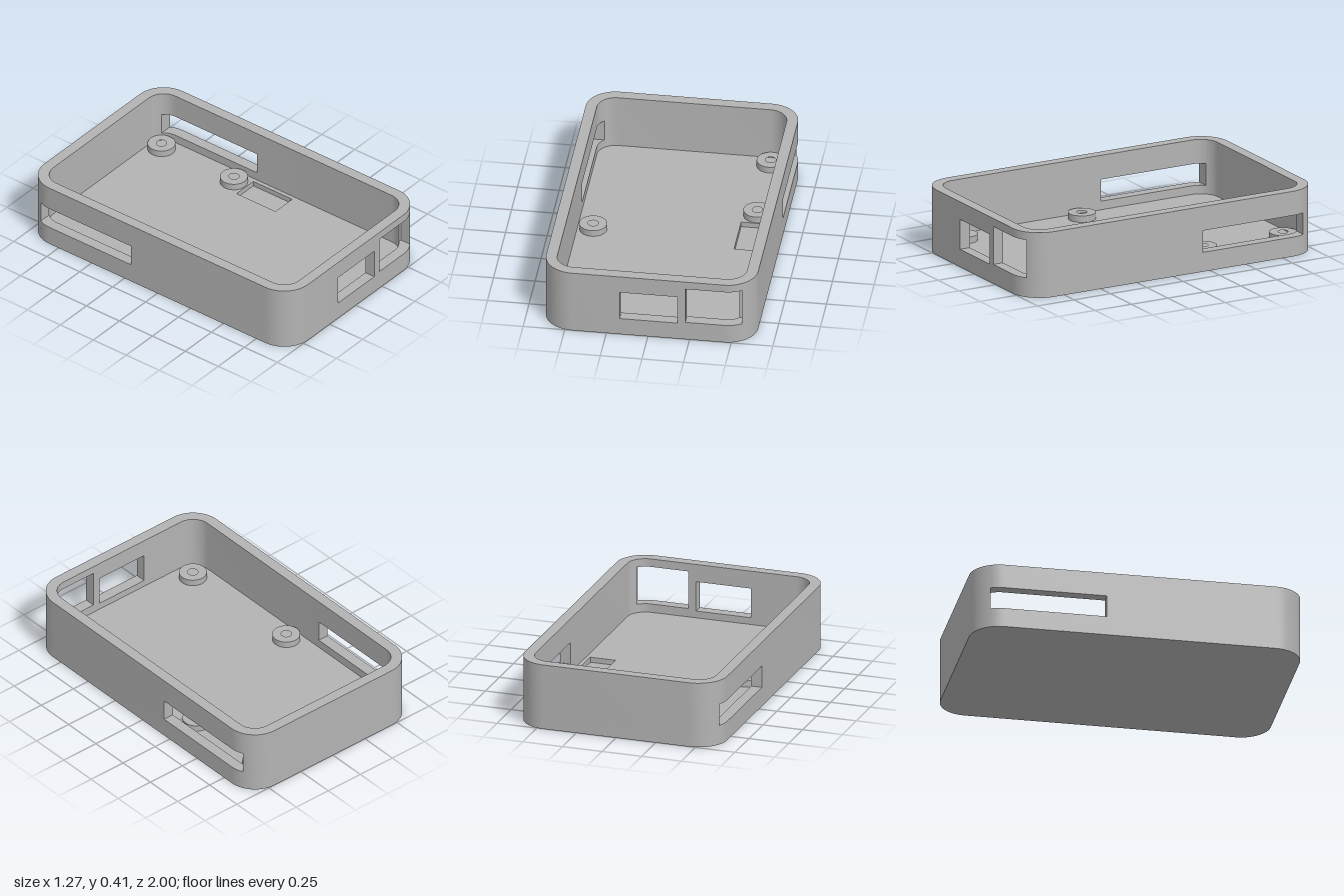
import * as THREE from 'three';
import { toCreasedNormals } from 'three/addons/utils/BufferGeometryUtils.js';

const HALF_X = 0.637, HALF_Z = 1, RADIUS = 0.18, WALL = 0.067;
const HEIGHT = 0.405, FLOOR = 0.067, POCKET = 0.035;

// Points [x, z] of the rounded outline, moved inwards by inset
function outline(inset) {
  const pts = [], r = RADIUS - inset, n = 14;
  const corners = [[1, 1], [1, -1], [-1, -1], [-1, 1]];
  corners.forEach(([sx, sz], c) => {
    for (let i = 0; i <= n; i++) {
      const a = (c + i / n) * Math.PI / 2;
      pts.push([sx * (HALF_X - RADIUS) + r * Math.sin(a), sz * (HALF_Z - RADIUS) + r * Math.cos(a)]);
    }
  });
  return pts;
}

// Bearing around the case, counted from the front wall
function bearing([x, z]) {
  const a = Math.atan2(x, z);
  return a < -0.3 ? a + 2 * Math.PI : a;
}

// Outline points strictly between two bearings
function between(pts, a, b) {
  const from = bearing(a), to = bearing(b) > from ? bearing(b) : bearing(b) + 2 * Math.PI;
  return pts.filter(p => bearing(p) > from + 1e-3 && bearing(p) < to - 1e-3)
    .sort((p, q) => bearing(p) - bearing(q));
}

const toVectors = pts => pts.map(([x, z]) => new THREE.Vector2(x, -z));

// Upright solid from a plan outline, between two heights
function prism(pts, y0, y1, hole) {
  const shape = new THREE.Shape(toVectors(pts));
  if (hole) shape.holes.push(new THREE.Path(toVectors(hole)));
  const geo = new THREE.ExtrudeGeometry(shape, { depth: y1 - y0, bevelEnabled: false });
  geo.rotateX(-Math.PI / 2).translate(0, y0, 0);
  return toCreasedNormals(geo, 0.5);
}

function circle(cx, cz, r) {
  return Array.from({ length: 40 }, (_, i) => {
    const a = i / 40 * Math.PI * 2;
    return [cx + r * Math.cos(a), cz + r * Math.sin(a)];
  });
}

export function createModel() {
  const group = new THREE.Group();
  const grey = new THREE.MeshStandardMaterial({ color: 0xb3b3b3 });
  grey.name = 'grey plastic';
  const add = (name, geo) => {
    const mesh = new THREE.Mesh(geo, grey);
    mesh.name = name;
    group.add(mesh);
  };

  const outer = outline(0), inner = outline(WALL);

  // Floor, with a shallow rectangular pocket in its upper layer
  add('basePlate', prism(outer, 0, POCKET));
  add('floorWithPocket', prism(outer, POCKET, FLOOR,
    [[0.385, -0.21], [0.545, -0.21], [0.545, 0.085], [0.385, 0.085]]));

  // Window ends in order around the case: each runs from the outer to the inner wall face
  const inX = HALF_X - WALL, inZ = HALF_Z - WALL;
  const ends = [
    [[-0.17, HALF_Z], [-0.17, inZ]],
    [[0.177, HALF_Z], [0.177, inZ]],
    [[0.225, HALF_Z], [0.225, inZ]],
    [[0.56, 0.967], [0.56, 0.9], [0.537, 0.9]],
    [[HALF_X, -0.2], [inX, -0.2]],
    [[0.618, -0.9], [0.537, -0.9]],
    [[-0.618, -0.9], [-0.537, -0.9]],
    [[-HALF_X, -0.2], [-inX, -0.2]],
  ];
  // Window opening after each end: sill and lintel heights, or null for solid wall
  const openings = [[0.11, 0.295], null, [0.12, 0.355], null, [0.12, 0.255], null, [0.12, 0.255], null];
  openings[5] = null;

  ends.forEach((a, i) => {
    const b = ends[(i + 1) % ends.length];
    const plan = [
      a[0], ...between(outer, a[0], b[0]), ...b,
      ...between(inner, a.at(-1), b.at(-1)).reverse(), ...a.slice(1).reverse(),
    ];
    const opening = openings[i];
    if (opening) {
      add('windowSill', prism(plan, FLOOR, opening[0]));
      add('windowLintel', prism(plan, opening[1], HEIGHT));
    } else {
      add('wall', prism(plan, FLOOR, HEIGHT));
    }
  });

  // Screw posts on the floor
  for (const [x, z] of [[0.47, -0.847], [0.47, -0.298], [-0.475, -0.013], [-0.449, 0.813]]) {
    add('screwPost', prism(circle(x, z, 0.083), FLOOR, 0.107, circle(x, z, 0.031)));
  }
  return group;
}
